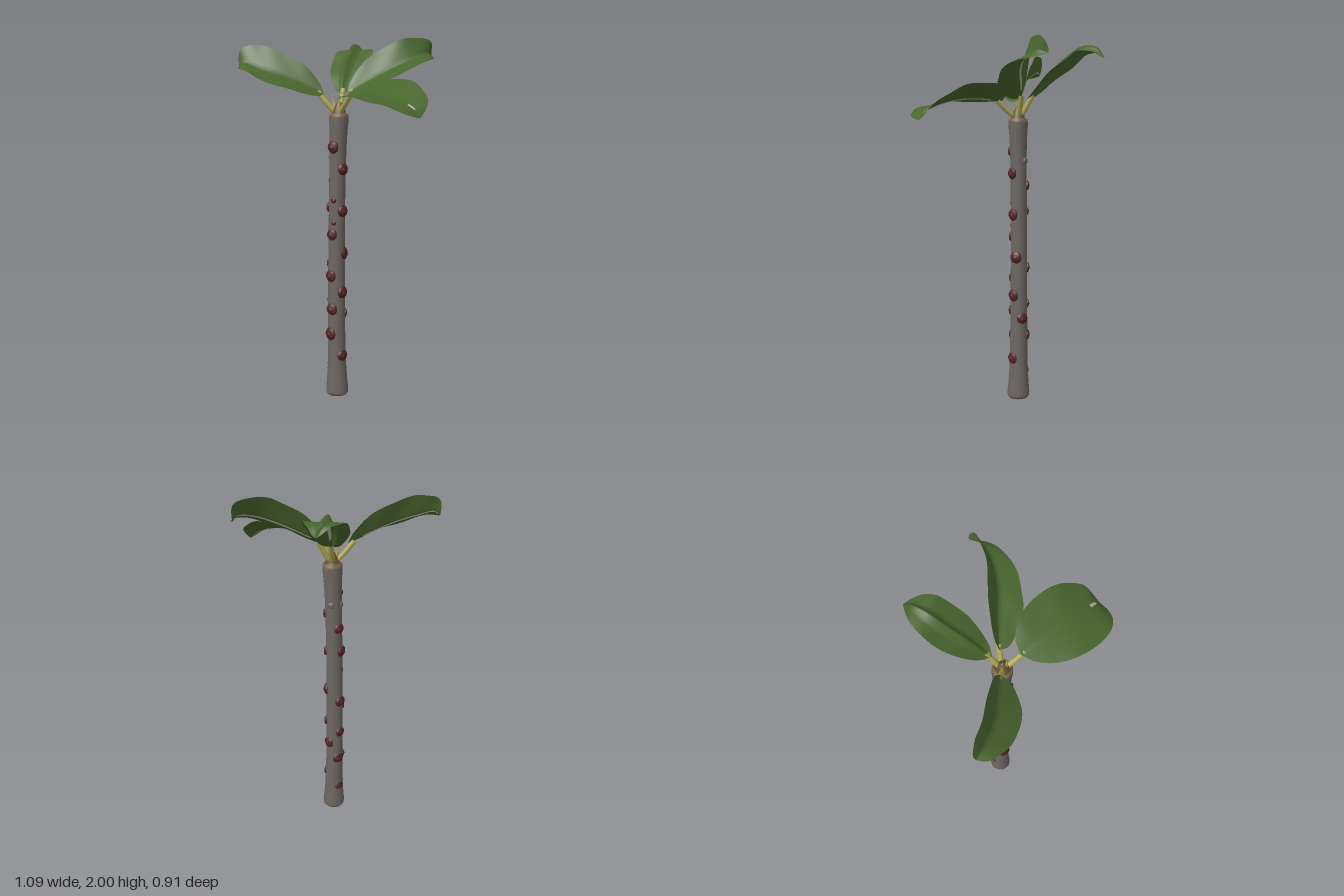
import * as THREE from 'three';

const mat = (name, color, side = THREE.FrontSide) =>
  Object.assign(new THREE.MeshStandardMaterial({ color, side }), { name });
const V = (p) => new THREE.Vector3(...p);

export function createModel() {
  const bark = mat('bark grey', 0x6b6662);
  const wood = mat('cut wood brown', 0x86624c);
  const rim = mat('rim tan', 0x76634e);
  const husk = mat('husk brown', 0x66532f);
  const red = mat('bud dark red', 0x552326);
  const green = mat('leaf green', 0x48652e, THREE.DoubleSide);
  const stalk = mat('stalk yellow green', 0xb0aa56);
  const pale = mat('vein pale', 0xb4b19e, THREE.DoubleSide);

  const root = new THREE.Group();
  const add = (name, geo, material, parent = root) => {
    const m = new THREE.Mesh(geo, material);
    m.name = name;
    parent.add(m);
    return m;
  };

  // The trunk leans very slightly; this is its centre line
  const axisX = (y) => -0.006 - 0.006 * Math.sin((y / 1.6) * Math.PI) + 0.01 * (y / 1.6) ** 3;
  const axisZ = (y) => 0.048 - 0.005 * (y / 1.6);
  const lathe = (pts) => {
    const geo = new THREE.LatheGeometry(pts.map((p) => new THREE.Vector2(...p)), 28);
    const p = geo.attributes.position;
    for (let i = 0; i < p.count; i++) {
      const y = p.getY(i);
      p.setX(i, p.getX(i) + axisX(y));
      p.setZ(i, p.getZ(i) + axisZ(y));
    }
    geo.computeVertexNormals();
    return geo;
  };

  // Trunk with a flared foot and a swollen top
  add('trunk', lathe([[0.062, 0.016], [0.063, 0.035], [0.058, 0.09], [0.052, 0.18], [0.049, 0.35], [0.047, 0.6],
    [0.046, 0.85], [0.045, 1.1], [0.045, 1.3], [0.046, 1.42], [0.049, 1.5], [0.053, 1.55], [0.053, 1.575]]), bark);
  add('trunkFoot', lathe([[0, 0.003], [0.03, 0], [0.054, 0.004], [0.062, 0.016]]), wood);
  add('trunkRim', lathe([[0.053, 1.575], [0.052, 1.588], [0.043, 1.595]]), rim);
  add('trunkTop', lathe([[0.043, 1.595], [0.036, 1.597], [0.036, 1.607], [0.026, 1.63], [0.016, 1.65], [0, 1.66]]), husk);

  // Buds on the trunk: [height, angle from the front towards +x, radius]
  const buds = [
    [1.415, -0.35, 0.034], [0.935, -0.3, 0.032], [0.7, -0.45, 0.034], [0.51, -0.3, 0.034], [0.365, -0.55, 0.037],
    [1.295, 1.05, 0.032], [1.065, 1.15, 0.033], [0.825, 1.6, 0.034], [0.605, 1.2, 0.034], [0.24, 1.1, 0.034],
    [0.475, 2.45, 0.032], [1.225, -2.3, 0.03], [1.08, -1.9, 0.032], [0.76, -2.2, 0.033], [0.55, -2.2, 0.03],
    [0.37, -2.5, 0.033], [0.16, -2.3, 0.028], [1.125, -0.1, 0.016], [1.0, -0.05, 0.014],
  ];
  const budGeo = new THREE.SphereGeometry(1, 16, 12);
  const bp = budGeo.attributes.position;
  for (let i = 0; i < bp.count; i++) {
    const v = new THREE.Vector3().fromBufferAttribute(bp, i);
    v.multiplyScalar(1 + 0.08 * Math.sin(7 * v.x) * Math.cos(6 * v.y));
    bp.setXYZ(i, v.x, v.y, v.z);
  }
  budGeo.computeVertexNormals();
  const place = (name, y, a, r, depth, out, material) => {
    const b = add(name, budGeo, material);
    b.position.set(axisX(y) + Math.sin(a) * out, y, axisZ(y) + Math.cos(a) * out);
    b.rotation.y = a;
    b.scale.set(r, r, depth);
  };
  buds.forEach(([y, a, r]) => {
    place('bud', y, a, r, r * 0.5, 0.044, red);
    place('budCentre', y - r * 0.1, a, r * 0.5, r * 0.32, 0.044 + r * 0.28, red);
  });
  // Small bark knots
  [[1.36, -1.7], [1.365, 3.0], [0.18, -1.5]].forEach(([y, a]) => place('barkKnot', y, a, 0.018, 0.01, 0.044, bark));

  // Cross-section rules, u running from -1 to 1 over the blade
  const trough = (depth) => (u) => depth * Math.abs(u);
  const ridge = (u) => {
    if (u < -0.16) return Math.max(-0.036, 0.22 * (u + 0.16)) + 0.008 * Math.min(0, u + 0.33);
    return Math.max(-0.045, -0.136 * (u + 0.16));
  };

  // Leaves: midrib points, half-width vector and cross-section
  const leaves = [
    { name: 'backLeaf', half: [0.112, 0, 0], section: ridge, stalkFrom: [0, 1.6, 0.035],
      spine: [[0, 1.7, -0.01], [-0.014, 1.82, -0.1], [-0.022, 1.915, -0.21], [-0.022, 1.975, -0.31], [-0.016, 1.965, -0.4], [-0.01, 1.905, -0.45]] },
    { name: 'backLeftLeaf', half: [0.035, -0.088, 0.075], section: trough(0.05), stalkFrom: [0.01, 1.6, 0.035],
      spine: [[0.04, 1.705, 0.01], [0.145, 1.775, -0.042], [0.255, 1.836, -0.09], [0.35, 1.888, -0.155], [0.415, 1.918, -0.245], [0.42, 1.91, -0.315]] },
    { name: 'frontLeftLeaf', half: [-0.062, -0.05, 0.165], section: trough(0.035), stalkFrom: [0.01, 1.6, 0.055],
      spine: [[0.065, 1.69, 0.11], [0.175, 1.7, 0.17], [0.305, 1.695, 0.24], [0.415, 1.668, 0.295], [0.495, 1.63, 0.33], [0.53, 1.59, 0.345]] },
    { name: 'rightLeaf', half: [0.03, -0.094, 0.075], section: trough(0.048), stalkFrom: [-0.015, 1.6, 0.05],
      spine: [[-0.075, 1.7, 0.065], [-0.195, 1.758, 0.108], [-0.32, 1.807, 0.148], [-0.43, 1.845, 0.16], [-0.505, 1.868, 0.157], [-0.535, 1.85, 0.153]] },
  ];
  leaves.forEach(({ name, half, section, stalkFrom, spine }) => {
    const g = new THREE.Group();
    g.name = name;
    root.add(g);
    const curve = new THREE.CatmullRomCurve3(spine.map(V));
    const side = V(half);
    const up = (t) => {
      const n = new THREE.Vector3().crossVectors(side, curve.getTangent(t)).normalize();
      return n.y < 0 ? n.negate() : n;
    };
    const width = (t) => Math.max(0.002, Math.sin(Math.PI * Math.pow(t, 0.79))) ** 0.72;
    const surface = (u, t, lift = 0) => {
      const w = width(t);
      const wave = 0.004 * Math.sin(t * 19 + u * 2) * Math.abs(u) * w;
      return curve.getPoint(t).addScaledVector(side, u * w).addScaledVector(up(t), section(u) * w + wave + lift);
    };
    // A patch of the leaf surface, swept along the midrib
    const patch = (label, material, uMax, t0, t1, columns, lift) => {
      const geo = new THREE.PlaneGeometry(2, 1, columns, 28);
      const p = geo.attributes.position;
      for (let i = 0; i < p.count; i++) {
        const t = THREE.MathUtils.clamp(t0 + (p.getY(i) + 0.5) * (t1 - t0), 0, 1);
        const v = surface(p.getX(i) * uMax, t, lift);
        p.setXYZ(i, v.x, v.y, v.z);
      }
      geo.computeVertexNormals();
      add(label, geo, material, g);
    };
    patch('blade', green, 1, 0, 1, 12, 0);

    // Pale midrib underneath, and where it shows on the broad leaf
    patch('midrib', pale, 0.065, 0.12, 0.93, 2, -0.004);
    if (name === 'frontLeftLeaf') patch('upperMidrib', pale, 0.06, 0.7, 0.82, 2, 0.002);

    // Stalk from the crown to the blade
    const from = V(stalkFrom), to = surface(0, 0.05, -0.004);
    const mid = from.clone().lerp(to, 0.5).add(new THREE.Vector3(0, -0.004, 0));
    add('stalk', new THREE.TubeGeometry(new THREE.CatmullRomCurve3([from, mid, to]), 10, 0.014, 10), stalk, g);
  });

  // Young shoots in the middle of the crown
  [[0.012, 0.06, 0.2], [-0.022, 0.05, -0.25], [0.002, 0.035, 0]].forEach(([x, z, tilt], i) => {
    const s = add('shoot', new THREE.ConeGeometry(0.013, 0.09, 8), i === 2 ? husk : stalk);
    s.position.set(x, 1.65, z);
    s.rotation.z = -tilt;
  });

  return root;
}
